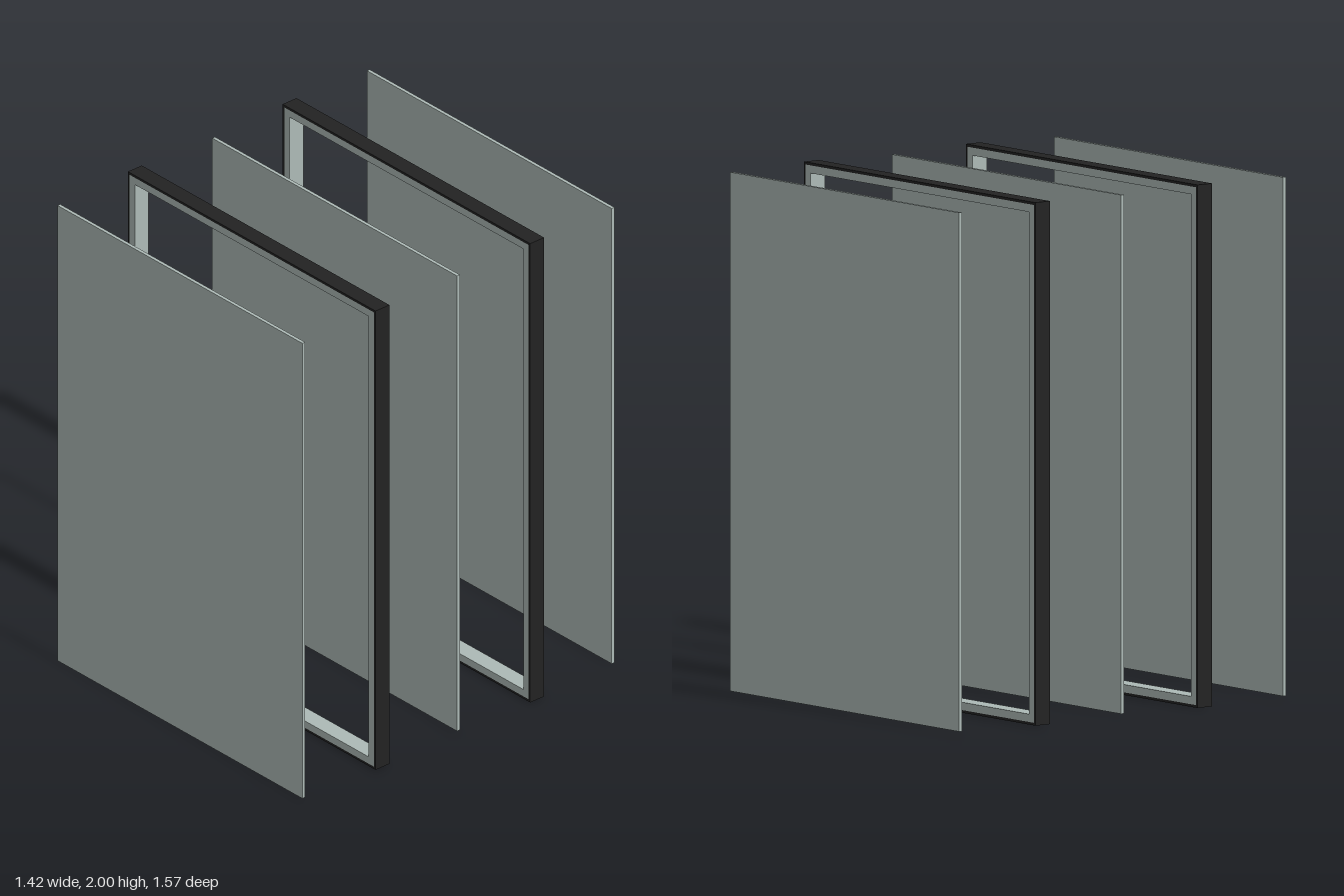
import * as THREE from 'three';

const glass = new THREE.MeshStandardMaterial({ color: 0xadbab6 });
glass.name = 'pale grey-green';
const dark = new THREE.MeshStandardMaterial({ color: 0x222222 });
dark.name = 'near black';

const WIDTH = 1.42, HEIGHT = 2, DEPTH = 0.07;
const SEAL = 0.01; // thickness of the dark outer seal
const BORDER = 0.04; // seal and spacer bar together

// Rectangle outline, inset from the overall size
function rectangle(path, inset) {
  const x = WIDTH / 2 - inset, y = HEIGHT / 2 - inset;
  path.moveTo(-x, -y);
  path.lineTo(x, -y);
  path.lineTo(x, y);
  path.lineTo(-x, y);
  path.closePath();
  return path;
}

// Rectangular ring between two insets, centred on its own depth
function ring(name, outer, inner, material) {
  const shape = rectangle(new THREE.Shape(), outer);
  shape.holes.push(rectangle(new THREE.Path(), inner));
  const geometry = new THREE.ExtrudeGeometry(shape, { depth: DEPTH, bevelEnabled: false });
  geometry.translate(0, 0, -DEPTH / 2);
  const mesh = new THREE.Mesh(geometry, material);
  mesh.name = name;
  return mesh;
}

export function createModel() {
  const model = new THREE.Group();
  model.name = 'explodedTripleGlazing';

  // Three glass panes
  const paneGeometry = new THREE.BoxGeometry(WIDTH - 0.016, HEIGHT - 0.016, 0.014);
  [['frontPane', 0.78], ['middlePane', 0], ['backPane', -0.78]].forEach(([name, z]) => {
    const pane = new THREE.Mesh(paneGeometry, glass);
    pane.name = name;
    pane.position.set(0, HEIGHT / 2, z);
    model.add(pane);
  });

  // Two spacer frames, each with a dark seal around it
  [['frontSpacerFrame', 0.39], ['backSpacerFrame', -0.39]].forEach(([name, z]) => {
    const frame = new THREE.Group();
    frame.name = name;
    frame.add(ring('outerSeal', 0, SEAL, dark), ring('spacerBar', SEAL, BORDER, glass));
    frame.position.set(0, HEIGHT / 2, z);
    model.add(frame);
  });

  return model;
}
